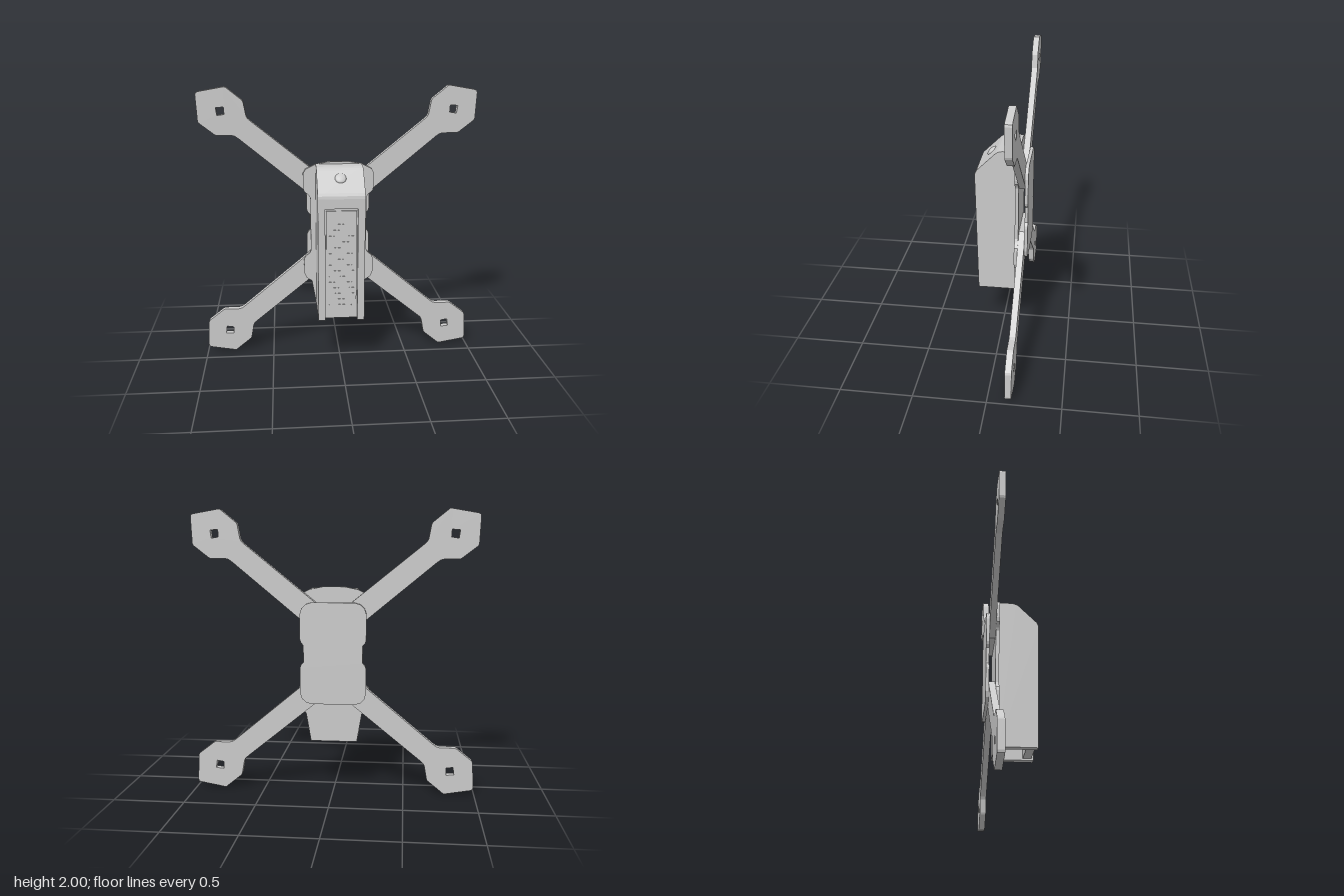
import * as THREE from 'three';
import { mergeGeometries } from 'three/addons/utils/BufferGeometryUtils.js';

const grey = new THREE.MeshStandardMaterial({ color: 0xcccccc, side: THREE.DoubleSide });

function add(parent, name, geometry) {
  const mesh = new THREE.Mesh(geometry, grey);
  mesh.name = name;
  parent.add(mesh);
  return mesh;
}

const vectors = (points) => points.map(([x, y]) => new THREE.Vector2(x, y));

function extrude(points, depth, hole) {
  const shape = new THREE.Shape(vectors(points));
  if (hole) shape.holes.push(new THREE.Path(vectors(hole)));
  return new THREE.ExtrudeGeometry(shape, { depth, bevelEnabled: false });
}

// Flat plate facing +z, from z0 to z1
const plate = (points, z0, z1, hole) => extrude(points, z1 - z0, hole).translate(0, 0, z0);

// Side profile given as (z, y), extruded along x from x0 to x1
const sidePiece = (points, x0, x1) =>
  extrude(points, x1 - x0).rotateY(-Math.PI / 2).translate(x1, 0, 0);

// Box given by its limits
const block = (x0, x1, y0, y1, z0, z1) =>
  new THREE.BoxGeometry(x1 - x0, y1 - y0, z1 - z0)
    .translate((x0 + x1) / 2, (y0 + y1) / 2, (z0 + z1) / 2);

// Complete the right-hand half of an outline with its mirror image
const symmetric = (half) => [...half, ...half.map(([x, y]) => [-x, y]).reverse()];

export function createModel() {
  const model = new THREE.Group();
  model.name = 'quadcopter';

  // Four arms with motor pads, mirrored about x = 0 and y = 1
  const armOutline = [
    [0, 1.17], [0.146, 1.17], [0.705, 1.635], [0.73, 1.653], [0.755, 1.66],
    [0.86, 1.66], [0.875, 1.668], [0.98, 1.75], [0.986, 1.765], [0.994, 1.945],
    [0.99, 1.96], [0.975, 1.967], [0.8, 1.998], [0.785, 1.997], [0.672, 1.905],
    [0.665, 1.89], [0.648, 1.795], [0.637, 1.775], [0.61, 1.752], [0, 1.256],
  ];
  const motorHole = [[0.8, 1.808], [0.85, 1.8], [0.858, 1.855], [0.803, 1.86]];
  for (const sx of [1, -1]) {
    for (const upper of [true, false]) {
      const place = ([x, y]) => [sx * x, upper ? y : 2 - y];
      add(model, `${upper ? 'upper' : 'lower'}${sx > 0 ? 'Left' : 'Right'}Arm`,
        plate(armOutline.map(place), -0.165, -0.12, motorHole.map(place)));
    }
  }

  // Front frame plate: clamps over the arms, waisted, tapering to the bottom
  add(model, 'frontPlate', plate(symmetric([
    [0.165, 0.355], [0.2, 0.56], [0.238, 0.585], [0.255, 0.62], [0.257, 0.72],
    [0.25, 0.75], [0.215, 0.78], [0.205, 0.8], [0.205, 1.2], [0.215, 1.22],
    [0.25, 1.25], [0.257, 1.28], [0.257, 1.38], [0.24, 1.412], [0.17, 1.447],
    [0.075, 1.466],
  ]), -0.12, -0.095));

  // Back plate: rounded corners and a notch in each side
  add(model, 'backPlate', plate(symmetric([
    [0.15, 0.642], [0.19, 0.652], [0.22, 0.68], [0.232, 0.72], [0.232, 0.9],
    [0.225, 0.92], [0.208, 0.94], [0.208, 1.06], [0.225, 1.08], [0.232, 1.1],
    [0.232, 1.28], [0.22, 1.32], [0.19, 1.348], [0.15, 1.36],
  ]), -0.188, -0.165));

  // Hollow body: two side walls, open at the bottom, joined by a sloping hood
  const body = new THREE.Group();
  body.name = 'body';
  model.add(body);
  const crown = [
    [0.191, 1.26], [0.188, 1.28], [0.178, 1.3], [0.045, 1.432],
    [0.028, 1.443], [0, 1.45], [-0.1, 1.45],
  ];
  const wall = [[-0.1, 0.352], [0.175, 0.352], ...crown];
  add(body, 'leftWall', sidePiece(wall, 0.115, 0.166));
  add(body, 'rightWall', sidePiece(wall, -0.166, -0.115));
  add(body, 'hood', sidePiece([
    [0.15, 1.19], [0.19, 1.19], ...crown, [-0.1, 1.41], [0, 1.41], [0.15, 1.26],
  ], -0.115, 0.115));

  // Recessed front panel on its backing
  add(body, 'panelBacking', block(-0.115, 0.115, 0.365, 1.19, 0.1, 0.16));
  add(body, 'frontPanel', block(-0.107, 0.107, 0.405, 1.17, 0.16, 0.17));

  // Rows of small vent studs on the panel
  const studs = [];
  for (let row = 0; row < 15; row++) {
    for (let col = 0; col < 6; col++) {
      studs.push(new THREE.BoxGeometry(0.018, 0.008, 0.006)
        .translate(-0.08 + col * 0.032, 0.47 + row * 0.043, 0.171));
    }
  }
  add(body, 'ventStuds', mergeGeometries(studs));

  // Low lens dome on the slope of the hood
  const lens = add(body, 'lens', new THREE.SphereGeometry(0.04, 24, 12));
  lens.scale.z = 0.4;
  lens.rotation.x = -Math.PI / 4;
  lens.position.set(0, 1.385, 0.092);

  return model;
}
